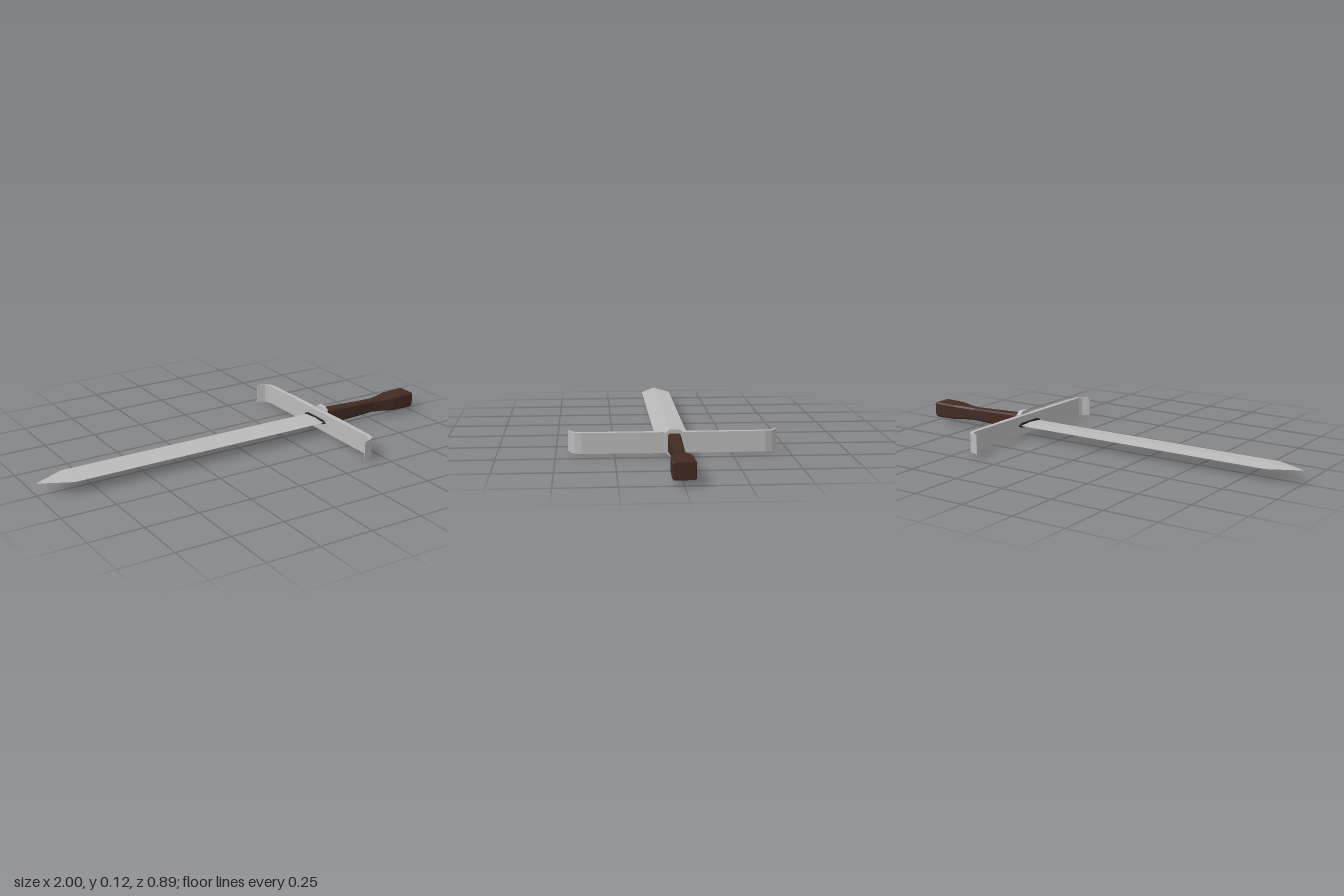
import * as THREE from 'three';

const MID = 0.06; // height of the sword's axis

// Flat-shaded loft along x: sections are { x, loop: [[y, z], ...] }
function loft(sections) {
  const pos = [];
  const put = (s, j) => {
    const p = s.loop[j % s.loop.length];
    pos.push(s.x, MID + p[0], p[1]);
  };
  const n = sections[0].loop.length;
  for (let i = 0; i < sections.length - 1; i++) {
    const a = sections[i], b = sections[i + 1];
    for (let j = 0; j < n; j++) {
      put(a, j); put(a, j + 1); put(b, j + 1);
      put(a, j); put(b, j + 1); put(b, j);
    }
  }
  const first = sections[0], last = sections[sections.length - 1];
  for (let j = 1; j < n - 1; j++) {
    put(first, 0); put(first, j + 1); put(first, j);
    put(last, 0); put(last, j); put(last, j + 1);
  }
  const g = new THREE.BufferGeometry();
  g.setAttribute('position', new THREE.Float32BufferAttribute(pos, 3));
  g.computeVertexNormals();
  return g;
}

const diamond = (h, w) => [[h, 0], [0, w], [-h, 0], [0, -w]];

// Box section with its corners cut by cy and cz
const chamfered = (h, w, cy, cz) => [
  [h, -w + cz], [h, w - cz], [h - cy, w], [-h + cy, w],
  [-h, w - cz], [-h, -w + cz], [-h + cy, -w], [h - cy, -w],
];

export function createModel() {
  const steel = new THREE.MeshStandardMaterial({ color: 0xbababa });
  steel.name = 'steel';
  const brown = new THREE.MeshStandardMaterial({ color: 0x422c23 });
  brown.name = 'darkBrown';
  const dark = new THREE.MeshStandardMaterial({ color: 0x2a2a2a });
  dark.name = 'darkGrey';

  const group = new THREE.Group();
  group.name = 'sword';
  const add = (name, geometry, material) => {
    const mesh = new THREE.Mesh(geometry, material);
    mesh.name = name;
    group.add(mesh);
  };

  // Blade with a central ridge and a pointed tip
  add('blade', loft([
    { x: -1, loop: diamond(0.0005, 0.0005) },
    { x: -0.855, loop: diamond(0.005, 0.072) },
    { x: 0.445, loop: diamond(0.005, 0.072) },
  ]), steel);

  // Dark slot where the blade enters the guard
  add('bladeSlot', loft([
    { x: 0.432, loop: chamfered(0.011, 0.08, 0.008, 0.02) },
    { x: 0.441, loop: chamfered(0.011, 0.08, 0.008, 0.02) },
  ]), dark);

  // Crossguard outline, mirrored, with ends curling towards the blade
  const half = [
    [0.464, 0.15], [0.459, 0.39], [0.45, 0.42], [0.432, 0.434], [0.39, 0.447],
    [0.39, 0.443], [0.424, 0.426], [0.434, 0.41], [0.438, 0.385], [0.438, 0.15],
  ];
  const outline = [...half, ...half.map(([x, z]) => [x, -z]).reverse()];
  const guard = new THREE.ExtrudeGeometry(
    new THREE.Shape(outline.map(([x, z]) => new THREE.Vector2(x, z))),
    { depth: 0.09, bevelEnabled: false });
  guard.rotateX(-Math.PI / 2);
  guard.translate(0, 0.013, 0);
  add('crossguard', guard, steel);

  // Eight-sided collar between guard and grip
  add('collar', loft([0.46, 0.482].map((x) => (
    { x, loop: chamfered(0.058, 0.04, 0.016, 0.022) }))), steel);

  // Grip: narrow waist, then a flared pommel end
  const grip = [
    [0.478, 0.041, 0.027], [0.52, 0.038, 0.027], [0.66, 0.033, 0.024],
    [0.77, 0.03, 0.021], [0.82, 0.032, 0.029], [0.88, 0.036, 0.045],
    [0.99, 0.038, 0.047], [1, 0.034, 0.043],
  ];
  add('grip', loft(grip.map(([x, h, w]) => (
    { x, loop: chamfered(h, w, 0.008, 0.007) }))), brown);

  return group;
}
